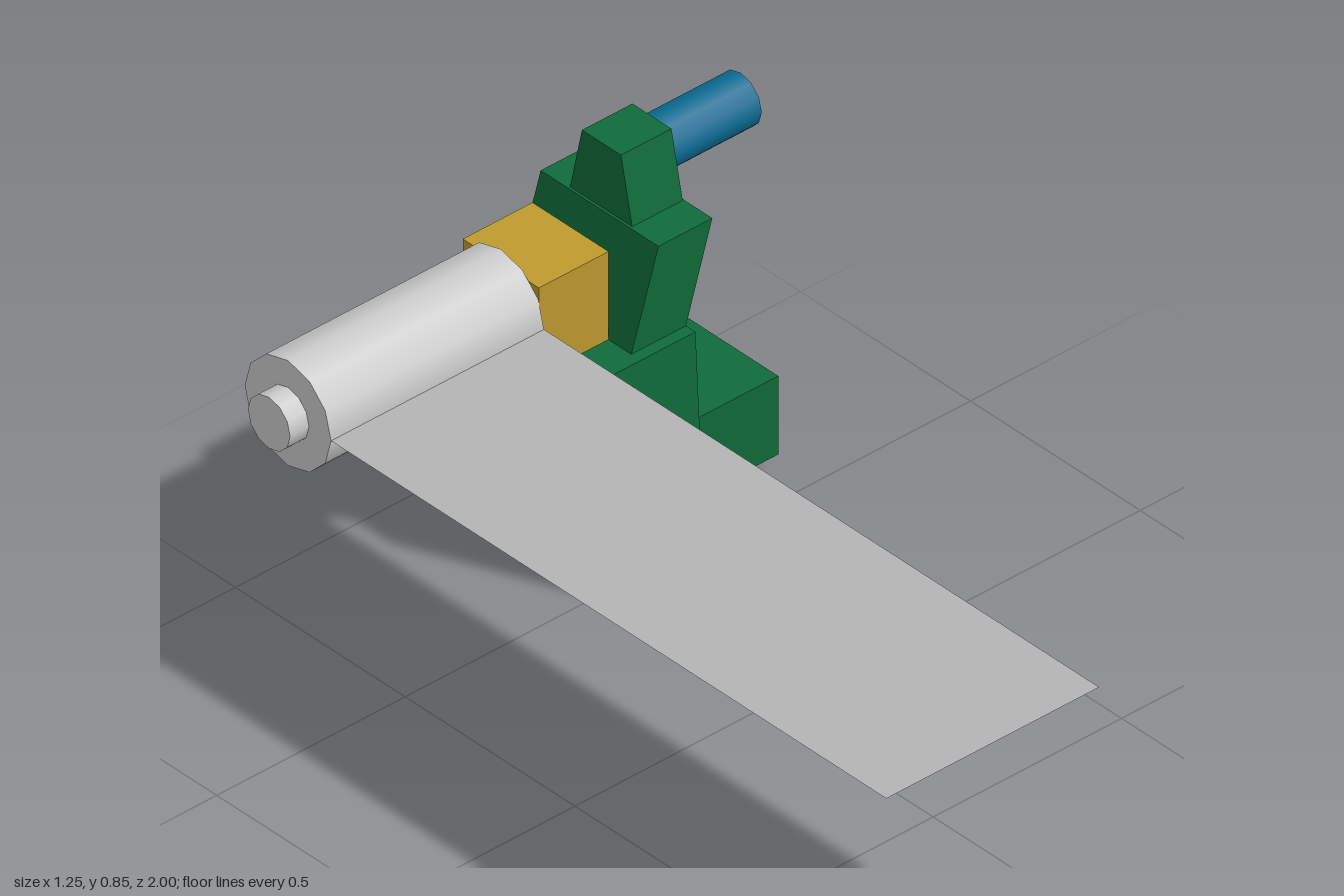
import * as THREE from 'three';

const green = new THREE.MeshStandardMaterial({ name: 'green paint', color: 0x0f6b3a, side: THREE.DoubleSide });
const yellow = new THREE.MeshStandardMaterial({ name: 'yellow paint', color: 0xbf9a2e });
const blue = new THREE.MeshStandardMaterial({ name: 'blue grip', color: 0x0c6c94 });
const grey = new THREE.MeshStandardMaterial({ name: 'light grey roll', color: 0xcccccc });
const sheetGrey = new THREE.MeshStandardMaterial({ name: 'sheet grey', color: 0xb4b4b4, side: THREE.DoubleSide });

// Block between two rectangles [x0, x1, z0, z1], open underneath
function shell(y0, y1, bottom, top) {
  const ring = ([x0, x1, z0, z1], y) => [[x0, y, z1], [x1, y, z1], [x1, y, z0], [x0, y, z0]];
  const b = ring(bottom, y0);
  const t = ring(top, y1);
  const pos = [];
  const quad = (p, q, r, s) => pos.push(...p, ...q, ...r, ...p, ...r, ...s);
  for (let i = 0; i < 4; i++) {
    const j = (i + 1) % 4;
    quad(b[i], b[j], t[j], t[i]);
  }
  quad(t[0], t[1], t[2], t[3]);
  const g = new THREE.BufferGeometry();
  g.setAttribute('position', new THREE.Float32BufferAttribute(pos, 3));
  g.computeVertexNormals();
  return g;
}

// Cylinder lying along x
function rod(x0, x1, y, z, r) {
  const g = new THREE.CylinderGeometry(r, r, x1 - x0, 12);
  g.rotateZ(Math.PI / 2);
  g.translate((x0 + x1) / 2, y, z);
  return g;
}

export function createModel() {
  const group = new THREE.Group();
  group.name = 'rollerMachine';
  const add = (name, geometry, material) => {
    const mesh = new THREE.Mesh(geometry, material);
    mesh.name = name;
    group.add(mesh);
  };

  // Green housing
  add('base', shell(0, 0.463, [-0.01, 0.32, -1, -0.53], [-0.01, 0.32, -0.975, -0.555]), green);
  const motor = [0.32, 0.555, -0.94, -0.572];
  add('motorBox', shell(0.045, 0.235, motor, motor), green);
  add('leaningArm', shell(0.463, 0.69, [0.175, 0.32, -0.93, -0.583], [0.247, 0.39, -0.93, -0.583]), green);
  add('head', shell(0.69, 0.846, [0.253, 0.387, -0.85, -0.667], [0.253, 0.387, -0.815, -0.7]), green);

  // Grip on the head
  add('handle', rod(0.387, 0.622, 0.777, -0.757, 0.062), blue);

  // Block joining housing and roller
  const block = new THREE.BoxGeometry(0.185, 0.213, 0.224);
  block.translate(0.0825, 0.57, -0.762);
  add('bearingBlock', block, yellow);

  // Roller with its shaft end and the sheet running off it
  add('roller', rod(-0.575, -0.01, 0.584, -0.762, 0.127), grey);
  add('shaftEnd', rod(-0.625, -0.575, 0.584, -0.762, 0.062), grey);
  const sheet = new THREE.PlaneGeometry(0.565, 1.637);
  sheet.rotateX(-Math.PI / 2);
  sheet.translate(-0.2925, 0.584, 0.1815);
  add('sheet', sheet, sheetGrey);

  return group;
}
